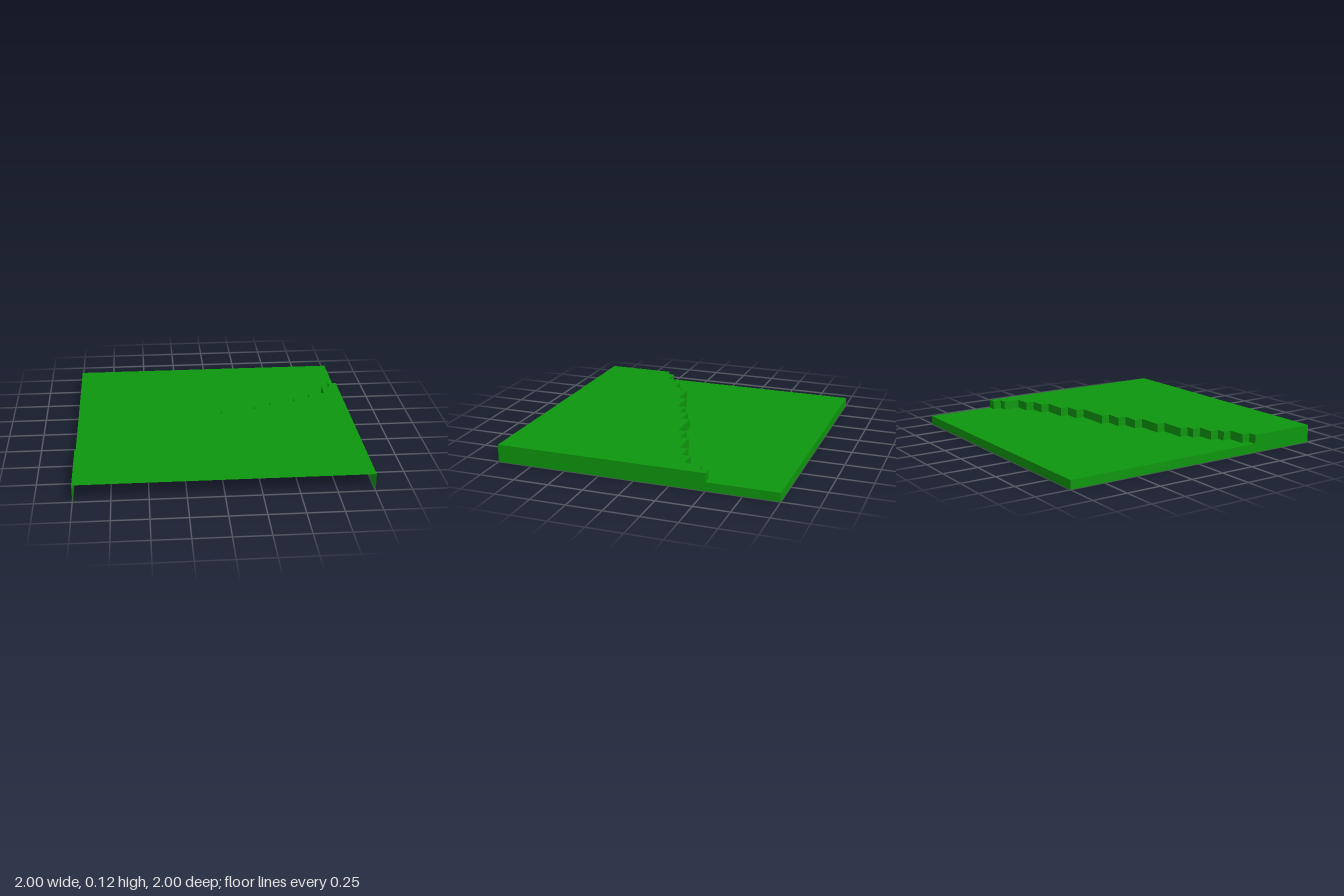
import * as THREE from 'three';
import { mergeGeometries } from 'three/addons/utils/BufferGeometryUtils.js';

const U = 1 / 16;      // grid unit
const LOW = U;         // height of the lower ground
const HIGH = 2 * U;    // height of the upper ground

// Ledge treads: [end x, z], in grid units, running from x = -16
const TREADS = [
  [-15, 8], [-13, 7], [-12, 6], [-10, 5], [-9, 4], [-6, 3], [-3, 2], [-1, 1],
  [1, 0], [5, -1], [7, -2], [10, -3], [12, -4], [14, -5], [15, -7], [16, -8],
];

export function createModel() {
  const group = new THREE.Group();
  const grass = new THREE.MeshStandardMaterial({ color: 0x0e960e, side: THREE.DoubleSide });
  grass.name = 'grass green';

  const add = (name, geometry) => {
    const mesh = new THREE.Mesh(geometry, grass);
    mesh.name = name;
    group.add(mesh);
  };
  const flat = (points) =>
    new THREE.ShapeGeometry(new THREE.Shape(points.map(([a, b]) => new THREE.Vector2(a, b))));

  // Stepped ledge line as [x, z] corners, left to right
  const ledge = [];
  let startX = -16;
  for (const [endX, z] of TREADS) {
    ledge.push([startX * U, z * U], [endX * U, z * U]);
    startX = endX;
  }

  // Ground plates on either side of the ledge
  const plate = (points, y) =>
    flat(points.map(([x, z]) => [x, -z])).rotateX(-Math.PI / 2).translate(0, y, 0);
  add('upperGround', plate([[-1, 1], [1, 1], ...ledge.slice().reverse()], HIGH));
  add('lowerGround', plate([...ledge, [1, -1], [-1, -1]], LOW));

  // Vertical faces of the ledge, facing the lower ground
  const risers = [];
  for (let i = 0; i < ledge.length - 1; i++) {
    const [x0, z0] = ledge[i], [x1, z1] = ledge[i + 1];
    const length = Math.hypot(x1 - x0, z1 - z0);
    const face = new THREE.PlaneGeometry(length, HIGH - LOW);
    face.rotateY(Math.abs(x1 - x0) > Math.abs(z1 - z0) ? Math.PI : -Math.PI / 2);
    risers.push(face.translate((x0 + x1) / 2, (LOW + HIGH) / 2, (z0 + z1) / 2));
  }
  add('ledgeRisers', mergeGeometries(risers));

  // Outer skirts; the front and the underside stay open
  add('leftSkirt', flat([[-1, 0], [1, 0], [1, HIGH], [0.5, HIGH], [0.5, LOW], [-1, LOW]])
    .rotateY(-Math.PI / 2).translate(-1, 0, 0));
  add('rightSkirt', flat([[-1, 0], [1, 0], [1, LOW], [0.5, LOW], [0.5, HIGH], [-1, HIGH]])
    .rotateY(Math.PI / 2).translate(1, 0, 0));
  add('backSkirt', new THREE.PlaneGeometry(2, LOW).rotateY(Math.PI).translate(0, LOW / 2, -1));

  return group;
}
